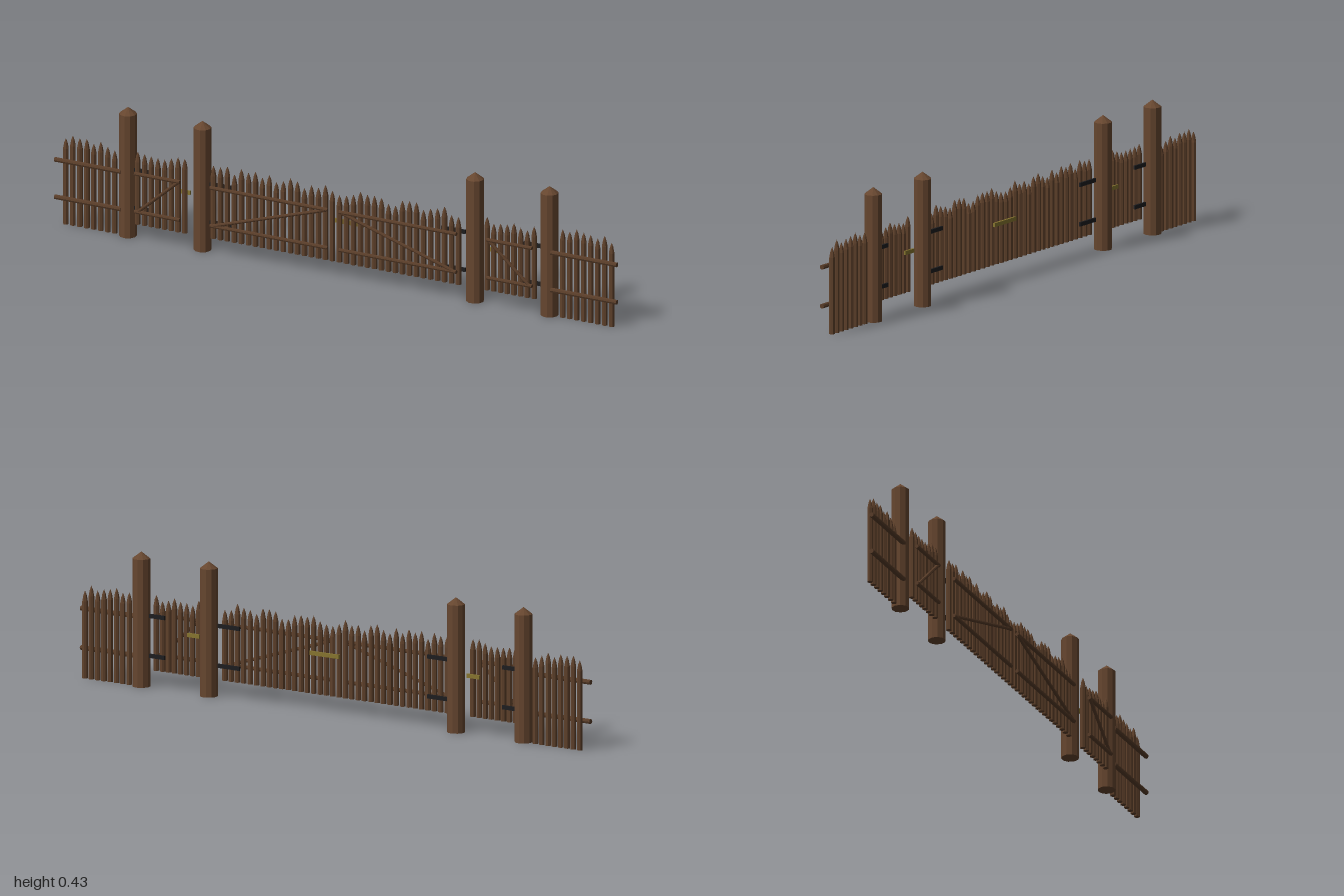
import * as THREE from 'three';

const mat = (name, color, flatShading = true) => {
  const m = new THREE.MeshStandardMaterial({ color, flatShading });
  m.name = name;
  return m;
};

export function createModel() {
  const postWood = mat('post wood', 0x66462f);
  const picketWood = mat('picket wood', 0x5f412b);
  const railWood = mat('rail wood', 0x583c28);
  const iron = mat('black iron', 0x1d1d1f);
  const brass = mat('dull brass', 0x85742f);

  let seed = 7;
  const rand = () => (seed = (seed * 16807) % 2147483647) / 2147483647;

  const add = (parent, name, geo, material, x, y, z) => {
    const m = new THREE.Mesh(geo, material);
    m.name = name;
    m.position.set(x, y, z);
    parent.add(m);
    return m;
  };

  // Log with a sharpened top, standing on its own base
  const stake = (r, h, tip, sides) => new THREE.LatheGeometry(
    [[0, 0], [r, 0], [r, h - tip], [r * 0.6, h - tip * 0.42], [0, h]]
      .map(p => new THREE.Vector2(...p)), sides);

  // Row of pickets with uneven tops
  const pickets = (parent, name, x0, x1, count, base, z) => {
    for (let i = 0; i < count; i++) {
      const top = 0.278 + 0.028 * rand();
      const x = x0 + (x1 - x0) * i / (count - 1);
      add(parent, name, stake(0.0092, top - base, 0.034, 7), picketWood, x, base, z)
        .rotation.y = rand() * 2;
    }
  };

  // Round pole between two points in the xy plane
  const pole = (parent, name, x0, y0, x1, y1, z, r) => {
    const len = Math.hypot(x1 - x0, y1 - y0);
    add(parent, name, new THREE.CylinderGeometry(r, r, len, 8), railWood,
      (x0 + x1) / 2, (y0 + y1) / 2, z)
      .rotation.z = Math.atan2(y1 - y0, x1 - x0) - Math.PI / 2;
  };

  // Gate leaf: hinge side at xh, free side at xf
  const leaf = (parent, name, xh, xf, count, s, strap) => {
    const g = new THREE.Group();
    g.name = name;
    parent.add(g);
    const d = Math.sign(xf - xh);
    pickets(g, name + 'Picket', s * xh, s * xf, count, 0.053, 0.011);
    for (const y of [0.228, 0.1]) {
      pole(g, name + 'Rail', s * (xh - d * 0.002), y, s * (xf - d * 0.008), y, 0.029, 0.0065);
      add(g, name + 'Hinge', new THREE.BoxGeometry(strap, 0.013, 0.006), iron,
        s * (xh + d * (strap / 2 - 0.018)), y, -0.001);
    }
    pole(g, name + 'Brace', s * (xh + d * 0.01), 0.102, s * (xf - d * 0.015), 0.226, 0.029, 0.0055);
  };

  const model = new THREE.Group();
  model.name = 'palisadeGate';

  for (const s of [-1, 1]) {
    // Main posts with conical tops
    for (const x of [0.485, 0.75]) {
      const profile = [[0, 0], [0.0285, 0], [0.0285, 0.411], [0, 0.433]];
      const geo = new THREE.LatheGeometry(profile.map(p => new THREE.Vector2(...p)), 10);
      add(model, 'post', geo, postWood, s * x, 0, -0.008).rotation.y = x * 9 + s;
    }

    // Fixed fence at each end
    const fence = new THREE.Group();
    fence.name = s > 0 ? 'leftFence' : 'rightFence';
    model.add(fence);
    pickets(fence, 'fencePicket', s * 0.797, s * 0.971, 8, 0, -0.008);
    for (const y of [0.218, 0.092]) {
      pole(fence, 'fenceRail', s * 0.765, y, s, y, 0.011, 0.008);
    }

    // Main gate leaf and side wicket
    leaf(model, 'mainGate', 0.436, 0.0125, 18, s, 0.085);
    leaf(model, 'wicket', 0.705, 0.538, 8, s, 0.06);
    add(model, 'wicketLatch', new THREE.BoxGeometry(0.048, 0.013, 0.006), brass,
      s * 0.549, 0.185, -0.002);
  }

  // Sliding bolt across the main gate
  add(model, 'mainBolt', new THREE.BoxGeometry(0.115, 0.013, 0.007), brass, 0.035, 0.185, -0.002);

  return model;
}
